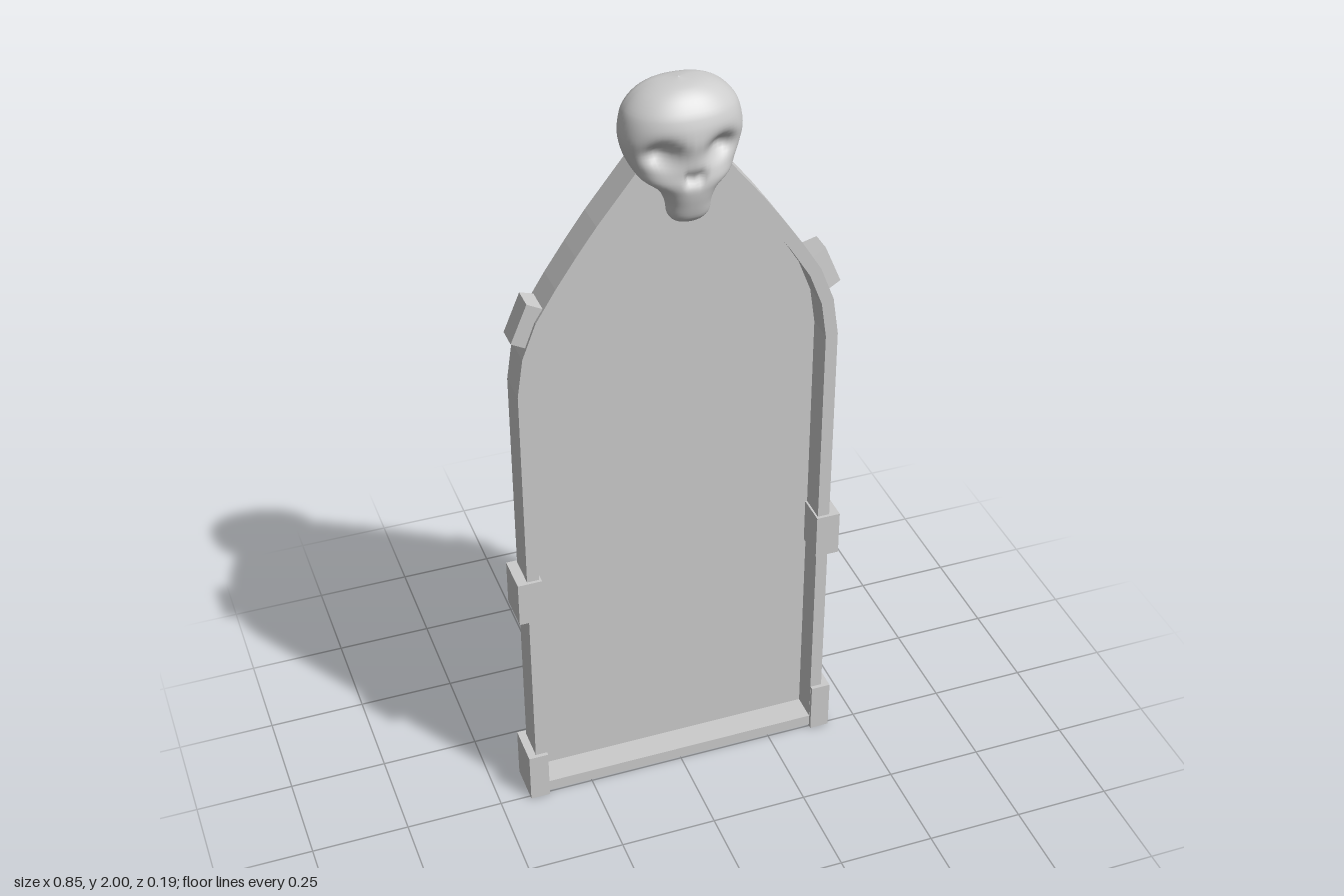
import * as THREE from 'three';

// Right half of the pointed arch outline, from the foot to just below the apex
const HALF = [[0.4, 0.005], [0.4, 1.26], [0.385, 1.36], [0.35, 1.45], [0.3, 1.53],
  [0.25, 1.603], [0.2, 1.672], [0.1, 1.797]];

// Closed outline, counter-clockwise
function outline() {
  const pts = HALF.map(([x, y]) => new THREE.Vector2(x, y));
  const left = HALF.map(([x, y]) => new THREE.Vector2(-x, y)).reverse();
  return [...pts, new THREE.Vector2(0, 1.92), ...left];
}

// Mitred inward offset of a counter-clockwise outline
function inset(pts, d) {
  const n = pts.length;
  const normal = (a, b) => new THREE.Vector2(a.y - b.y, b.x - a.x).normalize();
  return pts.map((p, i) => {
    const n1 = normal(pts[(i + n - 1) % n], p), n2 = normal(p, pts[(i + 1) % n]);
    const m = n1.clone().add(n2);
    return p.clone().addScaledVector(m, d / (1 + n1.dot(n2)));
  });
}

// Skull from horizontal rings: [y, half width, front z, back z]
function skullGeometry() {
  const rings = [
    [1.68, 0.001, 0.046, 0.036], [1.682, 0.032, 0.062, 0.026], [1.7, 0.048, 0.078, 0.022],
    [1.735, 0.054, 0.088, 0.014], [1.765, 0.07, 0.094, 0.0], [1.79, 0.105, 0.095, -0.03],
    [1.815, 0.122, 0.092, -0.062], [1.845, 0.134, 0.093, -0.07], [1.88, 0.141, 0.096, -0.073],
    [1.915, 0.138, 0.09, -0.074], [1.945, 0.128, 0.079, -0.073], [1.975, 0.099, 0.056, -0.068],
    [1.993, 0.058, 0.03, -0.056], [2.0, 0.001, -0.012, -0.018]];
  const sides = new THREE.CatmullRomCurve3(rings.map(r => new THREE.Vector3(r[1], r[0], 0)));
  const depths = new THREE.CatmullRomCurve3(rings.map(r => new THREE.Vector3(r[2], r[3], 0)));
  const rows = 52, cols = 64, pos = [], idx = [];
  const bump = (x, y, cx, cy, rx, ry) =>
    Math.exp(-(((x - cx) / rx) ** 2) - ((y - cy) / ry) ** 2);
  for (let j = 0; j <= rows; j++) {
    const s = sides.getPoint(j / rows), d = depths.getPoint(j / rows);
    const mid = d.y + (d.x - d.y) * 0.4;
    for (let i = 0; i < cols; i++) {
      const a = i / cols * Math.PI * 2, c = Math.cos(a), q = Math.sin(a);
      const x = s.x * Math.sign(c) * Math.abs(c) ** 0.9, y = Math.min(2, Math.max(1.68, s.y));
      let z = q > 0 ? mid + (d.x - mid) * q : mid - (mid - d.y) * Math.abs(q) ** 0.6;
      if (q > 0) {
        // eye sockets and nose cavity
        z -= 0.042 * bump(Math.abs(x), y, 0.068, 1.86, 0.036, 0.03) * Math.min(1, q * 1.6);
        z -= 0.022 * bump(Math.abs(x), y, 0.009, 1.802, 0.01, 0.016);
      }
      pos.push(x, y, z);
      if (j < rows) {
        const k = j * cols + i, m = j * cols + (i + 1) % cols;
        idx.push(k, k + cols, m, m, k + cols, m + cols);
      }
    }
  }
  const g = new THREE.BufferGeometry();
  g.setAttribute('position', new THREE.Float32BufferAttribute(pos, 3));
  g.setIndex(idx);
  g.computeVertexNormals();
  return g;
}

// Block whose outward face is narrower front to back
function taperedBlock(side) {
  const g = new THREE.BoxGeometry(0.052, 0.106, 0.076).toNonIndexed();
  const p = g.attributes.position;
  for (let i = 0; i < p.count; i++) if (p.getX(i) * side > 0) p.setZ(i, p.getZ(i) * 0.74);
  g.computeVertexNormals();
  return g;
}

export function createModel() {
  const model = new THREE.Group();
  model.name = 'archedMirror';
  const stone = new THREE.MeshStandardMaterial({ color: 0xcccccc });
  stone.name = 'paleGrey';

  const add = (name, geometry, x = 0, y = 0, z = 0) => {
    const mesh = new THREE.Mesh(geometry, stone);
    mesh.name = name;
    mesh.position.set(x, y, z);
    model.add(mesh);
    return mesh;
  };

  // Arched frame with an open middle
  const outer = outline(), inner = inset(outer, 0.031);
  const frame = new THREE.Shape(outer);
  frame.holes.push(new THREE.Path(inner));
  add('frame', new THREE.ExtrudeGeometry(frame, { depth: 0.085, bevelEnabled: false }), 0, 0, -0.085);

  // Panel set near the back of the frame
  add('panel', new THREE.ExtrudeGeometry(new THREE.Shape(inner), { depth: 0.006, bevelEnabled: false }), 0, 0, -0.077);

  // Foot blocks, middle clamps and tilted shoulder clamps
  for (const side of [1, -1]) {
    const label = side > 0 ? 'left' : 'right';
    add(label + 'FootBlock', new THREE.BoxGeometry(0.051, 0.14, 0.109), side * 0.395, 0.07, -0.0445);
    add(label + 'MiddleClamp', new THREE.BoxGeometry(0.062, 0.122, 0.1), side * 0.395, 0.653, -0.042);
    add(label + 'ShoulderClamp', taperedBlock(side), side * 0.362, 1.438, -0.042).rotation.z = side * 0.4;
  }

  // Skull ornament over the apex
  add('skull', skullGeometry());
  return model;
}
